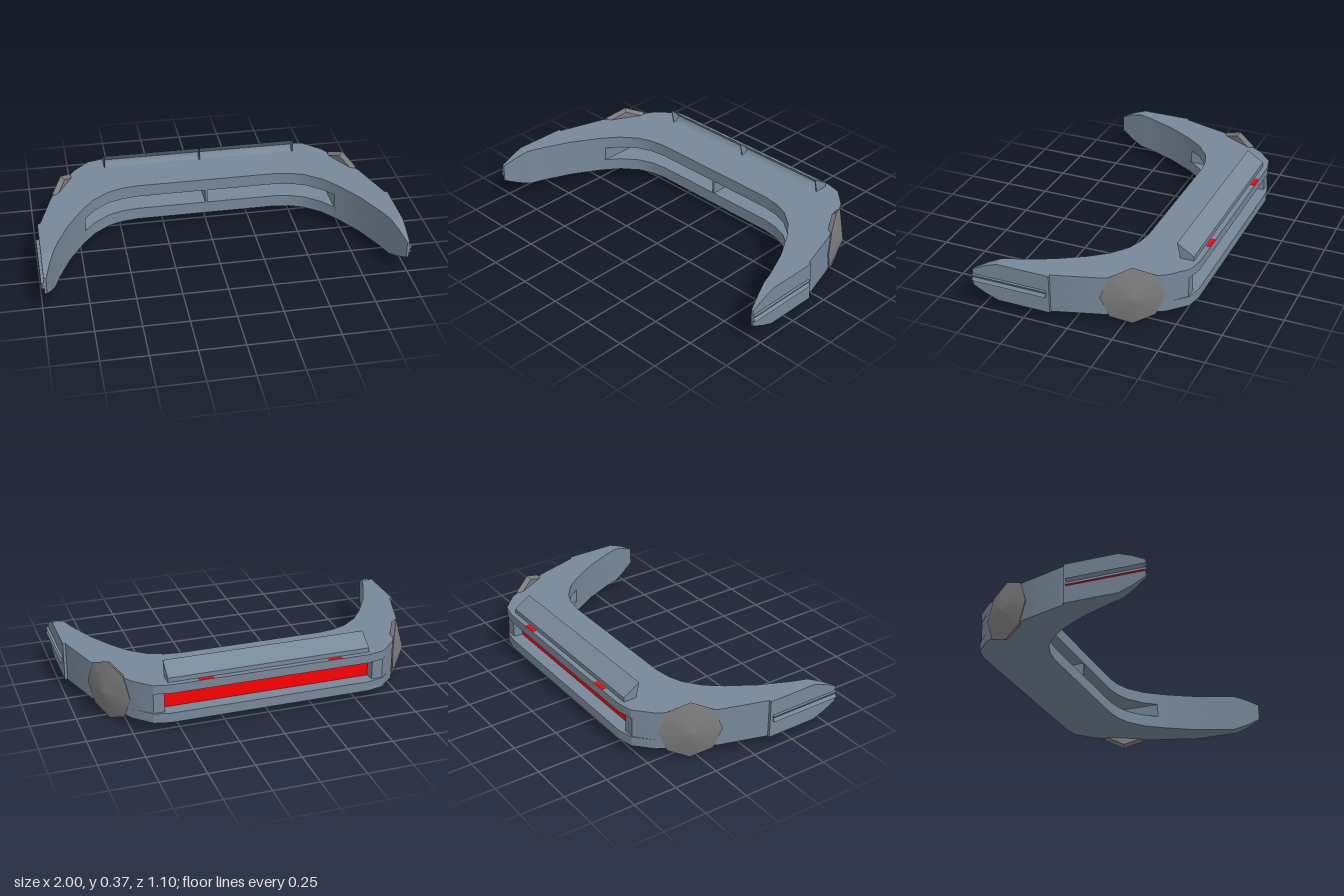
import * as THREE from 'three';
import { toCreasedNormals } from 'three/addons/utils/BufferGeometryUtils.js';

const slate = new THREE.MeshStandardMaterial({ color: 0x778899 });
const grey = new THREE.MeshStandardMaterial({ color: 0x7c7c7c });
const red = new THREE.MeshStandardMaterial({ color: 0xff0000 });
const black = new THREE.MeshStandardMaterial({ color: 0x000000 });

// Half height of the arms, shrinking toward the tips
function halfHeight(z) {
  if (z <= 0.4) return 0.11;
  if (z <= 0.47) return 0.11 - (z - 0.4) * 0.36;
  return 0.085 - (z - 0.47) * 0.5;
}

function extrude(points, depth) {
  const shape = new THREE.Shape(points.map(([a, b]) => new THREE.Vector2(a, b)));
  return new THREE.ExtrudeGeometry(shape, { depth, bevelEnabled: false });
}

// Horizontal slab from an x/z outline, trimmed to the taper of the tips
function slab(points, y0, y1) {
  const geo = extrude(points.map(([x, z]) => [x, -z]), y1 - y0);
  geo.rotateX(-Math.PI / 2).translate(0, y0, 0);
  const p = geo.attributes.position;
  for (let i = 0; i < p.count; i++) {
    const h = halfHeight(p.getZ(i));
    p.setY(i, THREE.MathUtils.clamp(p.getY(i), 0.17 - h, 0.17 + h));
  }
  return toCreasedNormals(geo, 0.52);
}

// Bar along x from a z/y profile, centred on x
function crossBar(profile, width, x) {
  const geo = extrude(profile, width).translate(0, 0, -width / 2);
  return toCreasedNormals(geo.rotateY(-Math.PI / 2).translate(x, 0, 0), 0.8);
}

// Flat strip facing down
function downStrip(width, length, x, y, z) {
  return new THREE.PlaneGeometry(width, length).rotateX(Math.PI / 2).translate(x, y, z);
}

function add(parent, name, geo, mat) {
  const mesh = new THREE.Mesh(geo, mat);
  mesh.name = name;
  parent.add(mesh);
}

function box(parent, name, mat, [x0, x1], [y0, y1], [z0, z1]) {
  const geo = new THREE.BoxGeometry(Math.abs(x1 - x0), y1 - y0, z1 - z0);
  add(parent, name, geo.translate((x0 + x1) / 2, (y0 + y1) / 2, (z0 + z1) / 2), mat);
}

export function createModel() {
  const model = new THREE.Group();
  model.name = 'curvedBumper';

  // Half outlines of the body, running from back centre round the arm to front centre
  const backFull = [[0.56, -0.55], [0.645, -0.53]];
  const backSlot = [[0.58, -0.47], [0.585, -0.525], [0.645, -0.525]];
  const arm = [[0.74, -0.44], [0.89, -0.16], [0.97, 0.105], [0.97, 0.31], [0.89, 0.31], [0.82, 0.15], [0.73, 0]];
  const frontFull = [[0.66, -0.09], [0.57, -0.16], [0.49, -0.19], [0.4, -0.203]];
  const frontSlot = [[0.715, -0.02], [0.715, -0.4]];
  const mirrored = half => [...half, ...half.map(([x, z]) => [-x, z]).reverse()];

  // Body in layers, so the slots cut into back and front
  const body = new THREE.Group();
  body.name = 'body';
  model.add(body);
  const levels = [0.06, 0.115, 0.13, 0.21, 0.23, 0.28];
  for (let i = 0; i < 5; i++) {
    const half = [...(i === 0 || i === 4 ? backFull : backSlot), ...arm, ...(i === 2 ? frontSlot : frontFull)];
    add(body, 'bodyLayer', slab(mirrored(half), levels[i], levels[i + 1]), slate);
  }

  // Front slot: dark back wall and centre divider
  box(model, 'frontSlotWall', black, [-0.714, 0.714], [0.131, 0.209], [-0.402, -0.395]);
  box(model, 'slotDivider', slate, [-0.006, 0.006], [0.13, 0.21], [-0.4, -0.205]);

  // Rear slot: red back wall and red roof
  box(model, 'rearSlotWall', red, [-0.579, 0.579], [0.116, 0.229], [-0.475, -0.468]);
  add(model, 'rearSlotRoof', downStrip(1.158, 0.076, 0, 0.229, -0.508), red);

  // Rear wing with a hollow front, closed by ribs at the ends and centre
  const wingOutline = [[-0.425, 0.365], [-0.52, 0.305], [-0.52, 0.278], [-0.445, 0.278]];
  const hollow = [[-0.475, 0.292], [-0.482, 0.31], [-0.46, 0.335]];
  add(model, 'rearWing', crossBar([...wingOutline, ...hollow], 1.12, 0), slate);
  for (const x of [-0.56, 0, 0.56]) add(model, 'wingRib', crossBar(wingOutline, 0.006, x), slate);

  // Parts repeated on each side
  for (const side of [1, -1]) {
    const group = new THREE.Group();
    group.name = side > 0 ? 'leftSide' : 'rightSide';
    model.add(group);

    // Red mark on the top rear edge
    box(group, 'redMark', red, [side * 0.32, side * 0.4], [0.278, 0.2815], [-0.549, -0.525]);

    // Tapering arm tip in straight segments: z and inner x of each station
    const stations = [[0.31, 0.89], [0.4, 0.921], [0.47, 0.946], [0.545, 0.972]];
    for (let i = 0; i < 3; i++) {
      const [[z0, x0], [z1, x1]] = [stations[i], stations[i + 1]];
      const quad = [[x0, z0], [0.985, z0], [0.985, z1], [x1, z1]];
      add(group, 'armTip', slab(quad.map(([x, z]) => [side * x, z]), 0.06, 0.28), slate);
    }

    // Outer panel and its notched rail with a red underside
    box(group, 'outerPanel', slate, [side * 0.96, side * 0.985], [0.06, 0.28], [0.105, 0.31]);
    const rail = [[0.98, 0.155], [1, 0.155], [0.988, 0.1725], [1, 0.19], [0.98, 0.19]];
    const railGeo = extrude(rail.map(([x, y]) => [side * x, y]), 0.423).translate(0, 0, 0.122);
    add(group, 'outerRail', railGeo, slate);
    add(group, 'railUnderside', downStrip(0.015, 0.423, side * 0.9925, 0.1545, 0.3335), red);

    // Eight-sided pointed disc on the angled flank
    const profile = [[0, -0.02], [0.15, -0.02], [0.168, 0.005], [0, 0.05]]
      .map(([r, h]) => new THREE.Vector2(r, h));
    const disc = toCreasedNormals(new THREE.LatheGeometry(profile, 8), 0.5);
    disc.rotateX(Math.PI / 2).rotateY(Math.atan2(side * 0.88, -0.47));
    add(group, 'sideDisc', disc.translate(side * 0.822, 0.168, -0.287), grey);
  }
  return model;
}
